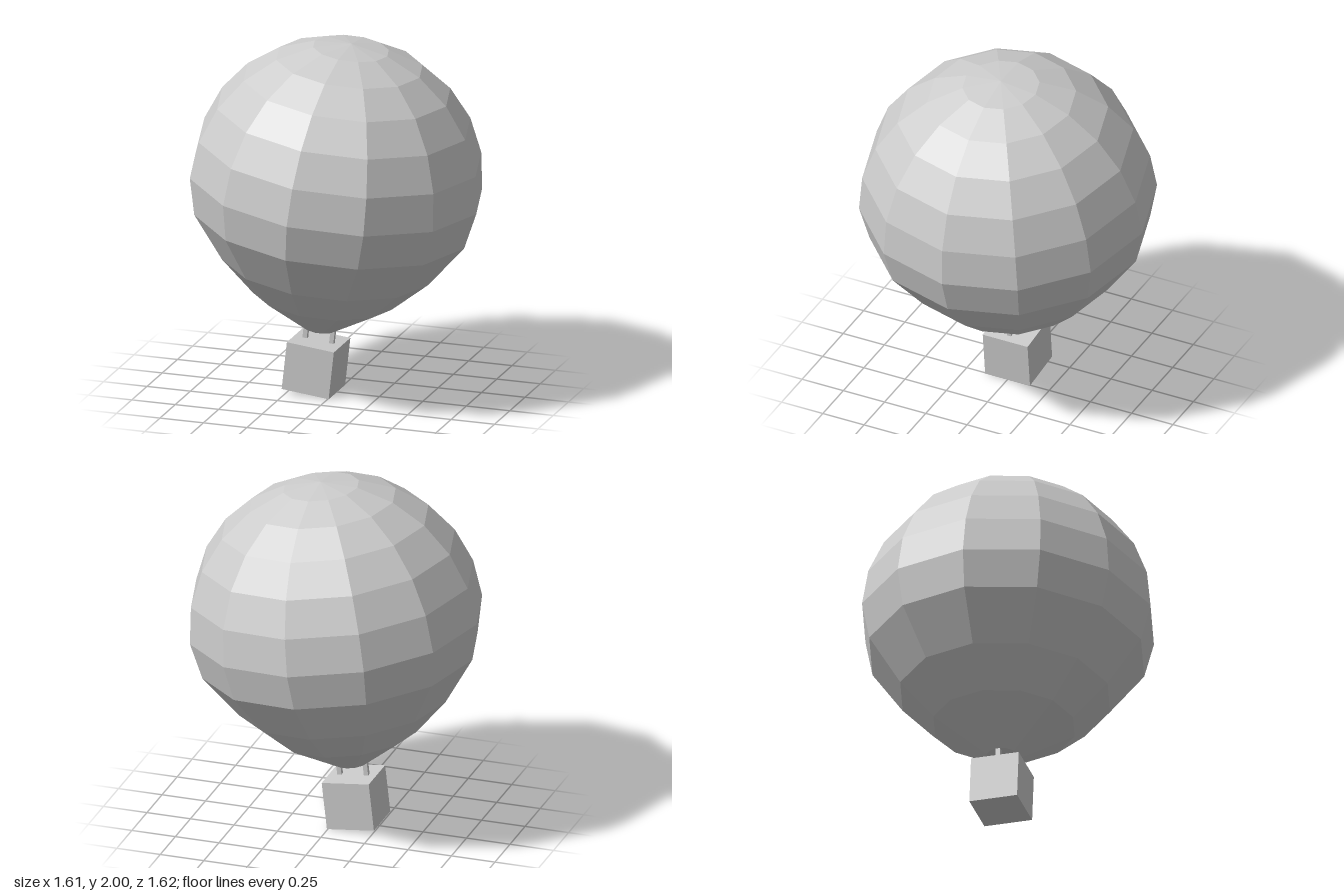
import * as THREE from 'three';

const TILT = 0.11;      // lean of the whole balloon
const RADIUS = 0.812;   // widest ring of the envelope
const CENTRE_Y = 1.194; // height of the widest ring

export function createModel() {
  const group = new THREE.Group();
  const balloon = new THREE.Group();
  balloon.name = 'balloon';
  balloon.position.y = CENTRE_Y;
  balloon.rotation.z = -TILT;
  group.add(balloon);

  const material = new THREE.MeshStandardMaterial({ color: 0xcccccc, flatShading: true });
  const add = (name, geometry, x, y, z) => {
    const mesh = new THREE.Mesh(geometry, material);
    mesh.name = name;
    mesh.position.set(x, y, z);
    balloon.add(mesh);
  };

  // Envelope: tapering lower half, closed neck, then a hemisphere in 15 degree rings
  const profile = [[0, -0.84], [0.09, -0.84], [0.393, -0.649], [0.584, -0.463], [0.765, -0.21]]
    .map(([r, y]) => new THREE.Vector2(r, y));
  for (let i = 0; i <= 6; i++) {
    const a = (i * Math.PI) / 12;
    profile.push(new THREE.Vector2(i === 6 ? 0 : RADIUS * Math.cos(a), RADIUS * Math.sin(a)));
  }
  const envelope = new THREE.LatheGeometry(profile, 12).toNonIndexed();
  envelope.computeVertexNormals();
  add('envelope', envelope, 0, 0, 0);

  // Basket hung below the neck
  add('basket', new THREE.BoxGeometry(0.272, 0.272, 0.272), 0, -1.047, 0);

  // Two struts joining basket and neck
  for (const side of [-1, 1]) {
    add(side > 0 ? 'leftStrut' : 'rightStrut', new THREE.BoxGeometry(0.025, 0.1, 0.025), side * 0.077, -0.875, 0);
  }

  return group;
}
